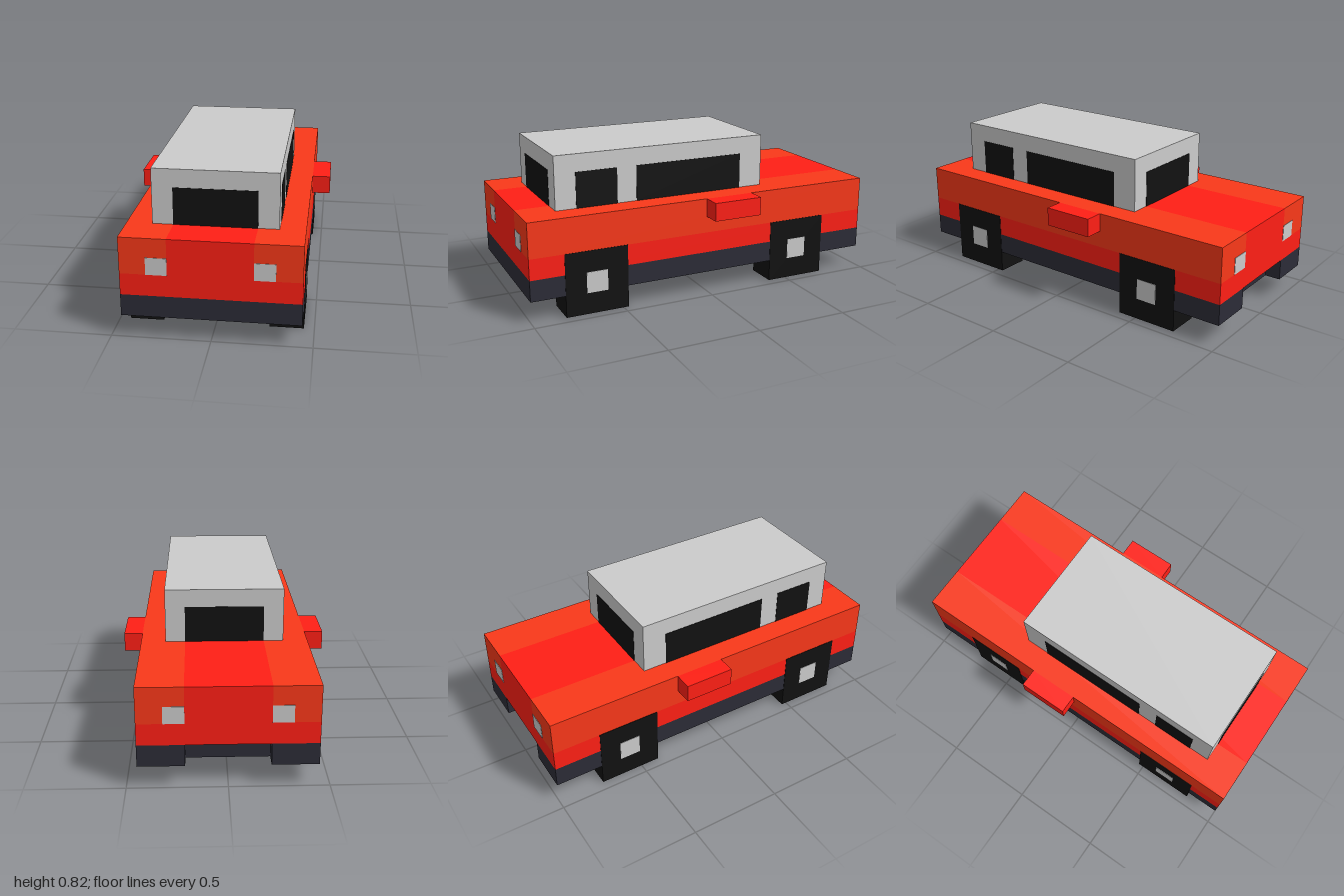
import * as THREE from 'three';

const paint = (color) => new THREE.MeshStandardMaterial({ color, flatShading: true });

export function createModel() {
  const car = new THREE.Group();
  car.name = 'blockCar';
  const red = paint(0xff1f15), orange = paint(0xf93819), dark = paint(0x2c2c37);
  const black = paint(0x111111), grey = paint(0xcccccc);

  // Box given by its extents on each axis
  const block = (name, material, [x0, x1], [y0, y1], [z0, z1]) => {
    const mesh = new THREE.Mesh(new THREE.BoxGeometry(x1 - x0, y1 - y0, z1 - z0), material);
    mesh.position.set((x0 + x1) / 2, (y0 + y1) / 2, (z0 + z1) / 2);
    mesh.name = name;
    car.add(mesh);
  };
  // The same box on both sides, x measured outward from the centre
  const pair = (name, material, [x0, x1], y, z) => {
    block(name + 'Left', material, [x0, x1], y, z);
    block(name + 'Right', material, [-x1, -x0], y, z);
  };

  const W = 0.445, e = 0.002; // half width, and how far inlaid panels stand proud

  // Chassis, with a gap in the middle of the rear bumper
  block('chassis', dark, [-W, W], [0.118, 0.232], [-0.915, 1]);
  pair('rearBumper', dark, [0.21, W], [0.118, 0.232], [-1, -0.915]);

  // Body
  block('lowerBody', red, [-W, W], [0.232, 0.345], [-1, 1]);
  block('centreBody', red, [-0.21, 0.21], [0.345, 0.535], [-1, 1]);
  pair('flank', orange, [0.21, W], [0.345, 0.535], [-1, 1]);
  pair('wingMirror', red, [W, 0.545], [0.435, 0.535], [-0.265, 0.01]);

  // Cabin and its windows
  block('cabin', grey, [-0.315, 0.315], [0.535, 0.823], [-0.395, 0.813]);
  block('windscreen', black, [-0.21, 0.21], [0.535, 0.728], [0.80, 0.813 + e]);
  block('rearWindow', black, [-0.21, 0.21], [0.535, 0.728], [-0.395 - e, -0.38]);
  pair('frontSideWindow', black, [0.30, 0.315 + e], [0.535, 0.728], [0.472, 0.70]);
  pair('rearSideWindow', black, [0.30, 0.315 + e], [0.535, 0.728], [-0.26, 0.363]);

  // Lights
  pair('headlight', grey, [0.21, 0.315], [0.345, 0.435], [0.98, 1 + e]);
  pair('tailLight', grey, [0.21, 0.315], [0.345, 0.435], [-1 - e, -0.98]);

  // Wheels and hubs
  for (const [end, z] of [['front', 0.643], ['rear', -0.567]]) {
    pair(end + 'Wheel', black, [0.272, W + e], [0, 0.345], [z - 0.172, z + 0.172]);
    pair(end + 'Hub', grey, [0.40, W + 2 * e], [0.116, 0.23], [z - 0.058, z + 0.058]);
  }
  return car;
}
